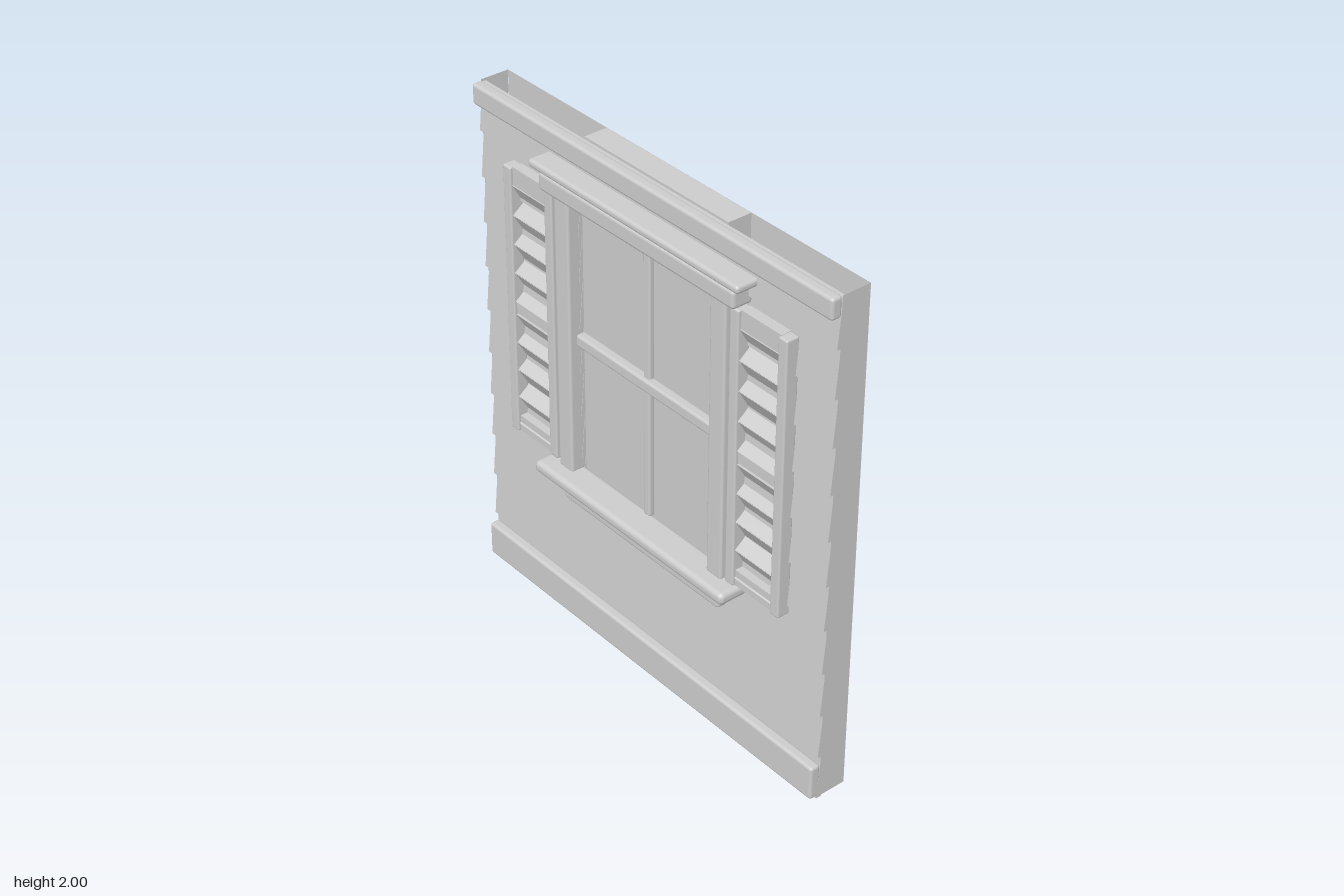
import * as THREE from 'three';
import { RoundedBoxGeometry } from 'three/addons/geometries/RoundedBoxGeometry.js';

const paint = new THREE.MeshStandardMaterial({ color: 0xcccccc, side: THREE.DoubleSide });
paint.name = 'light grey paint';

const BACK = -0.115, W = 0.9, OPEN = 0.36, SILL = 0.68, HEAD = 1.78;

function add(parent, name, geometry) {
  const mesh = new THREE.Mesh(geometry, paint);
  mesh.name = name;
  parent.add(mesh);
  return mesh;
}

// Box given by its limits; r > 0 rounds the edges
function block(parent, name, x0, x1, y0, y1, z0, z1, r = 0) {
  const size = [x1 - x0, y1 - y0, z1 - z0];
  const g = r > 0 ? new RoundedBoxGeometry(...size, 2, r) : new THREE.BoxGeometry(...size);
  return add(parent, name, g.translate((x0 + x1) / 2, (y0 + y1) / 2, (z0 + z1) / 2));
}

// Prism running along x from a closed profile of [z, y] points
function prismX(parent, name, profile, x0, x1) {
  const shape = new THREE.Shape(profile.map(([z, y]) => new THREE.Vector2(-z, y)));
  const g = new THREE.ExtrudeGeometry(shape, { depth: x1 - x0, bevelEnabled: false });
  return add(parent, name, g.rotateY(Math.PI / 2).translate(x0, 0, 0));
}

function rectangle(PathType, x0, x1, y0, y1) {
  return new PathType([[x0, y0], [x1, y0], [x1, y1], [x0, y1]].map(p => new THREE.Vector2(...p)));
}

function buildWall() {
  const wall = new THREE.Group();
  wall.name = 'wall';

  // Inner wall sheet with the window opening
  const sheet = rectangle(THREE.Shape, -W, W, 0.01, 2);
  sheet.holes.push(rectangle(THREE.Path, -OPEN, OPEN, SILL, HEAD));
  add(wall, 'innerWall', new THREE.ShapeGeometry(sheet).rotateY(Math.PI).translate(0, 0, BACK));

  // End sheets and the window reveals
  for (const s of [-1, 1]) {
    const end = new THREE.PlaneGeometry(-BACK - 0.002, 1.99).rotateY(s * Math.PI / 2);
    add(wall, 'endPanel', end.translate(s * W, 1.005, BACK / 2));
    const reveal = new THREE.PlaneGeometry(-BACK - 0.012, HEAD - SILL).rotateY(-s * Math.PI / 2);
    add(wall, 'windowReveal', reveal.translate(s * OPEN, (SILL + HEAD) / 2, BACK / 2 - 0.006));
  }
  block(wall, 'lowerInfill', -OPEN, OPEN, 0.01, SILL, BACK + 0.001, -0.02);
  block(wall, 'upperInfill', -OPEN, OPEN, HEAD, 2, BACK + 0.001, -0.02);

  // Overlapping clapboards, cut around the opening
  for (let i = 0; i < 11; i++) {
    const y0 = 0.005 + i * 0.1805;
    const y1 = Math.min(y0 + 0.1805, 2);
    const profile = [[-0.012, y0], [0.012, y0], [-0.004, y1], [-0.02, y1]];
    const cut = y1 > SILL + 0.01 && y0 < HEAD;
    const spans = cut ? [[-W, -OPEN], [OPEN, W]] : [[-W, W]];
    for (const [a, b] of spans) prismX(wall, 'clapboard', profile, a, b);
  }
  block(wall, 'topTrim', -W, W, 1.92, 2, -0.003, 0.04, 0.012);
  block(wall, 'bottomTrim', -W, W, 0.01, 0.15, -0.003, 0.04, 0.012);
  return wall;
}

function buildWindow() {
  const win = new THREE.Group();
  win.name = 'window';
  block(win, 'pane', -OPEN, OPEN, SILL, HEAD, -0.012, -0.006);
  for (const s of [-1, 1]) {
    const c = s * 0.4;
    block(win, 'sideCasing', c - 0.038, c + 0.038, 0.68, 1.78, -0.01, 0.055, 0.01);
  }
  block(win, 'verticalMuntin', -0.017, 0.017, 0.685, 1.775, -0.01, 0.015, 0.008);
  block(win, 'horizontalMuntin', -0.362, 0.362, 1.205, 1.253, -0.01, 0.03, 0.01);
  block(win, 'header', -0.495, 0.495, 1.777, 1.847, -0.01, 0.075, 0.014);
  block(win, 'crown', -0.53, 0.53, 1.855, 1.886, -0.02, 0.09, 0.013);
  block(win, 'crownNeck', -0.47, 0.47, 1.84, 1.86, -0.01, 0.06);
  block(win, 'sill', -0.51, 0.51, 0.638, 0.686, -0.01, 0.115, 0.02);
  block(win, 'apron', -0.42, 0.42, 0.545, 0.64, -0.005, 0.05, 0.012);
  return win;
}

function buildShutter(side) {
  const shutter = new THREE.Group();
  shutter.name = side > 0 ? 'leftShutter' : 'rightShutter';
  const c = side * 0.588;
  for (const s of [-1, 1]) {
    block(shutter, 'stile', c + s * 0.113 - 0.021, c + s * 0.113 + 0.021, 0.69, 1.77, 0, 0.052, 0.007);
  }
  for (const [y0, y1] of [[0.69, 0.755], [1.19, 1.235], [1.7, 1.77]]) {
    block(shutter, 'rail', c - 0.095, c + 0.095, y0, y1, 0, 0.04);
  }
  // Two banks of louvres, each slat leaning out over a shadowed underside
  for (const top of [1.7, 1.185]) {
    for (let i = 0; i < 4; i++) {
      const y = top - i * 0.115;
      const profile = [[-0.004, y - 0.117], [0.045, y - 0.117], [-0.002, y - 0.08], [0.045, y], [-0.004, y]];
      prismX(shutter, 'louvre', profile, c - 0.095, c + 0.095);
    }
  }
  // Hinges between shutter and casing
  for (const y of [0.96, 1.49]) {
    block(shutter, 'hinge', side * 0.447 - 0.012, side * 0.447 + 0.012, y - 0.04, y + 0.04, 0, 0.03, 0.004);
  }
  return shutter;
}

export function createModel() {
  const model = new THREE.Group();
  model.name = 'shutteredWindowWall';
  model.add(buildWall(), buildWindow(), buildShutter(-1), buildShutter(1));
  return model;
}
